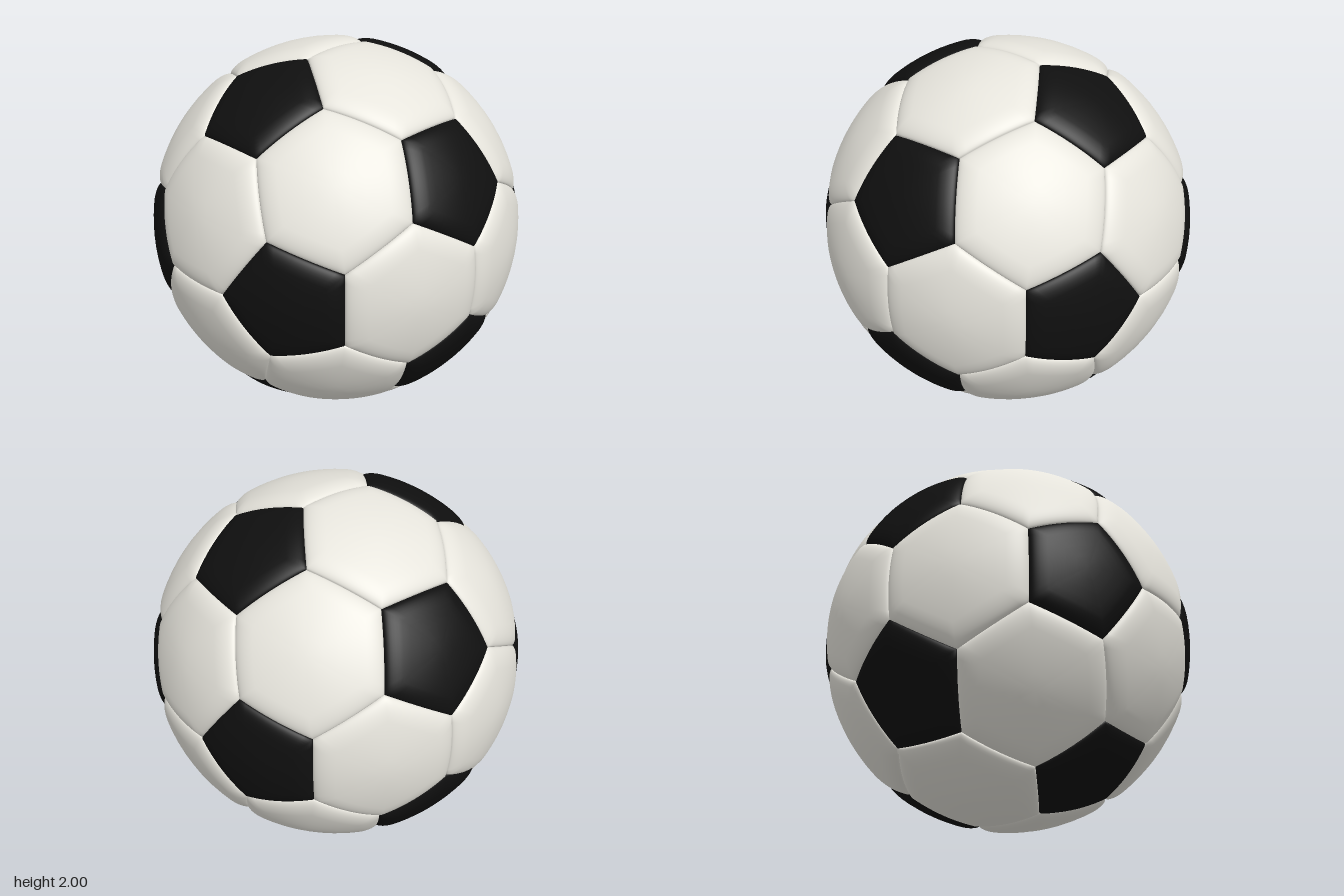
import * as THREE from 'three';

const SEAM = 0.972, BULGE = 0.03, BEVEL = 0.1; // seam radius, panel height, rounded rim width
const SIDE_STEPS = 10;                         // divisions along each panel side
const RINGS = [0.2, 0.4, 0.58, 0.7, 0.76, 0.82, 0.87, 0.91, 0.94, 0.965, 0.983, 0.994, 1];

// The 12 icosahedron directions, where the pentagons sit
function icosahedronPoints() {
  const phi = (1 + Math.sqrt(5)) / 2, points = [];
  for (const s of [1, -1]) for (const t of [phi, -phi]) {
    points.push(new THREE.Vector3(s, 0, t), new THREE.Vector3(0, t, s), new THREE.Vector3(t, s, 0));
  }
  return points.map(p => p.normalize());
}

// One pillowed panel: rings from the centre out to the seam
function panelGeometry(center, corners) {
  const sides = corners.length, count = sides * SIDE_STEPS;
  const seamNormals = corners.map((c, i) => c.clone().cross(corners[(i + 1) % sides]).normalize());
  const pos = [], index = [];
  const addPoint = dir => {
    const d = Math.min(...seamNormals.map(n => Math.asin(Math.max(0, dir.dot(n)))));
    const t = 1 - Math.min(d / BEVEL, 1);
    const r = SEAM + BULGE * Math.sqrt(Math.max(0, 1 - t * t));
    pos.push(dir.x * r, dir.y * r, dir.z * r);
  };
  addPoint(center);
  RINGS.forEach((s, ring) => {
    for (let i = 0; i < count; i++) {
      const side = Math.floor(i / SIDE_STEPS);
      const rim = corners[side].clone().lerp(corners[(side + 1) % sides], (i % SIDE_STEPS) / SIDE_STEPS);
      addPoint(center.clone().lerp(rim.normalize(), s).normalize());
      const next = (i + 1) % count, a = 1 + ring * count + i, b = 1 + ring * count + next;
      if (ring === 0) index.push(0, a, b);
      else index.push(a - count, a, b, a - count, b, b - count);
    }
  });
  const geometry = new THREE.BufferGeometry();
  geometry.setAttribute('position', new THREE.Float32BufferAttribute(pos, 3));
  geometry.setIndex(index);
  geometry.computeVertexNormals();
  return geometry;
}

export function createModel() {
  const white = new THREE.MeshStandardMaterial({ name: 'white leather', color: 0xe6e4dc });
  const black = new THREE.MeshStandardMaterial({ name: 'black leather', color: 0x0f0f0f });
  const ball = new THREE.Group();
  ball.name = 'ball';
  ball.position.y = 1;

  // Seam corners lie a third of the way along each icosahedron edge
  const pentagons = icosahedronPoints(), hexagons = [], corners = [];
  const joined = (a, b) => a !== b && a.dot(b) > 0.4;
  pentagons.forEach((a, i) => pentagons.forEach((b, j) => {
    if (!joined(a, b)) return;
    corners.push(a.clone().lerp(b, 1 / 3).normalize());
    pentagons.forEach((c, k) => {
      if (i < j && j < k && joined(a, c) && joined(b, c)) hexagons.push(a.clone().add(b).add(c).normalize());
    });
  }));

  // A panel uses the corners nearest its centre, in counter-clockwise order
  const addPanel = (center, sides, material, name) => {
    const near = [...corners].sort((p, q) => q.dot(center) - p.dot(center)).slice(0, sides);
    const u = near[0].clone().projectOnPlane(center).normalize();
    const v = center.clone().cross(u);
    const angle = p => Math.atan2(p.dot(v), p.dot(u));
    near.sort((p, q) => angle(p) - angle(q));
    const mesh = new THREE.Mesh(panelGeometry(center, near), material);
    mesh.name = name;
    ball.add(mesh);
  };
  pentagons.forEach((c, i) => addPanel(c, 5, black, `pentagonPanel${i + 1}`));
  hexagons.forEach((c, i) => addPanel(c, 6, white, `hexagonPanel${i + 1}`));

  const model = new THREE.Group();
  model.name = 'football';
  model.add(ball);
  return model;
}
